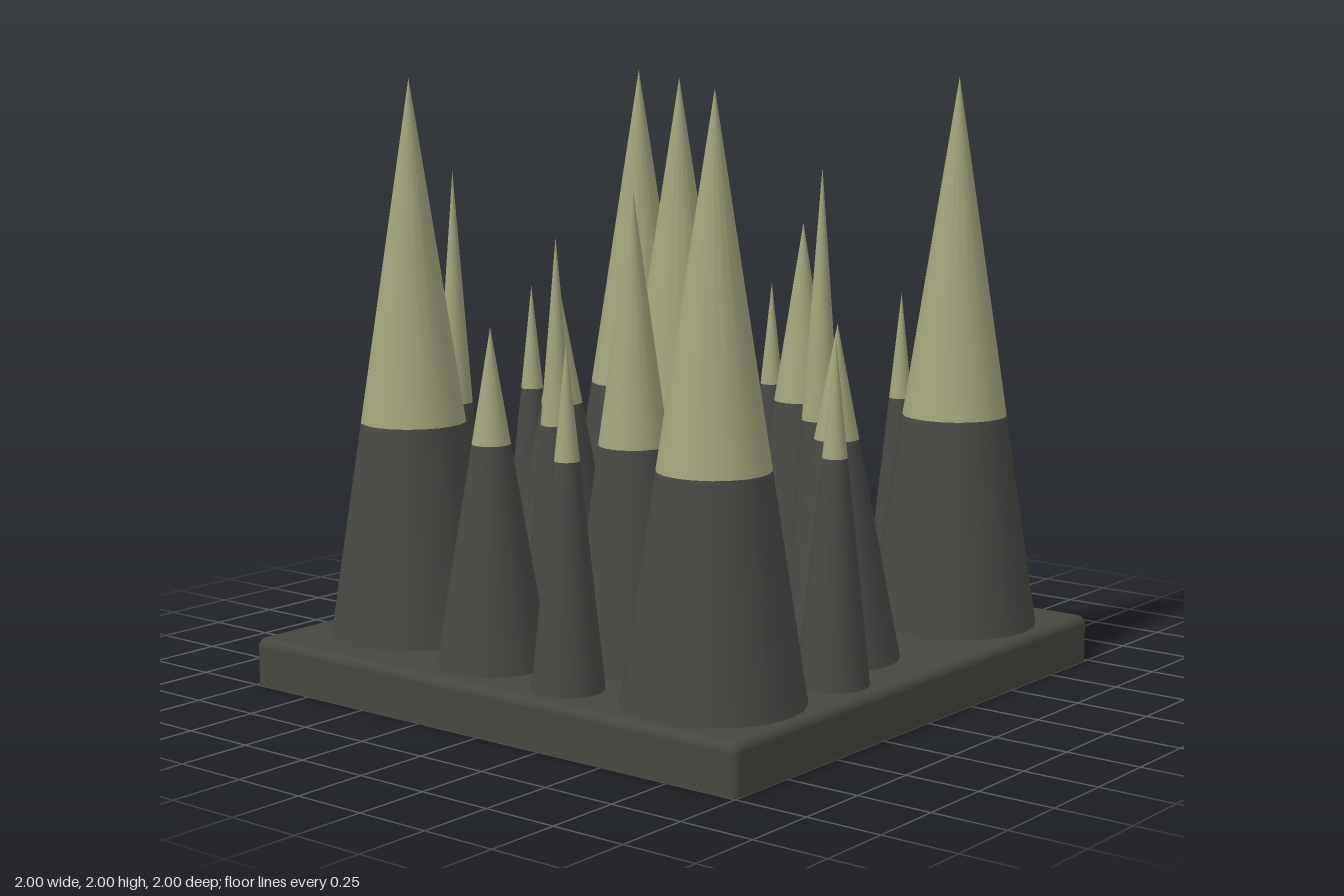
import * as THREE from 'three';
import { RoundedBoxGeometry } from 'three/addons/geometries/RoundedBoxGeometry.js';

const BASE_TOP = 0.16, COLOUR_LINE = 0.87, SIDES = 20;

// x, z, base radius, tip height
const SPIKES = {
  largeSpike: [
    [-0.637, -0.567, 0.285, 2], [0.674, -0.64, 0.285, 2], [0, 0, 0.285, 2],
    [-0.652, 0.593, 0.285, 2], [0.674, 0.68, 0.285, 2],
  ],
  mediumSpike: [
    [0.09, -0.575, 0.21, 1.49], [-0.53, -0.013, 0.21, 1.24], [0.64, 0, 0.21, 1.24],
    [0.207, 0.49, 0.21, 1.67], [-0.155, 0.754, 0.182, 1.24],
  ],
  smallSpike: [
    [-0.225, -0.82, 0.115, 1.24], [0.326, -0.835, 0.115, 1.24], [-0.235, -0.365, 0.115, 1.67],
    [0.385, -0.27, 0.115, 1.71], [-0.834, -0.2, 0.115, 1.24], [-0.825, 0.21, 0.115, 1.67],
    [-0.235, 0.35, 0.115, 1.49], [0.834, 0.285, 0.115, 1.24], [0.23, 0.835, 0.115, 1.24],
  ],
};

// Slab rounded on top and at the corners, with a sharp flat underside
function slabGeometry() {
  const geometry = new RoundedBoxGeometry(2, BASE_TOP * 2, 2, 4, 0.03);
  const pos = geometry.attributes.position, normal = geometry.attributes.normal;
  for (let i = 0; i < pos.count; i += 3) {
    const corners = [i, i + 1, i + 2];
    const below = corners.every((c) => pos.getY(c) < 0);
    for (const c of corners) {
      if (below) normal.setXYZ(c, 0, -1, 0);
      pos.setY(c, Math.max(0, pos.getY(c)));
    }
  }
  return geometry;
}

export function createModel() {
  const slabGrey = new THREE.MeshStandardMaterial({ color: 0x46473f });
  slabGrey.name = 'slab grey';
  const darkGrey = new THREE.MeshStandardMaterial({ color: 0x484845 });
  darkGrey.name = 'dark grey';
  const paleOlive = new THREE.MeshStandardMaterial({ color: 0xa2a47c });
  paleOlive.name = 'pale olive';

  const model = new THREE.Group();
  model.name = 'spikeField';

  const slab = new THREE.Mesh(slabGeometry(), slabGrey);
  slab.name = 'baseSlab';
  model.add(slab);

  // Each spike is a dark lower frustum with a pale tip
  function addSpike(name, [x, z, radius, height]) {
    const spike = new THREE.Group();
    spike.name = name;
    spike.position.set(x, 0, z);
    const lineRadius = radius * (height - COLOUR_LINE) / (height - BASE_TOP);

    const lowerHeight = COLOUR_LINE - BASE_TOP;
    const lower = new THREE.Mesh(
      new THREE.CylinderGeometry(lineRadius, radius, lowerHeight, SIDES, 1, true), darkGrey);
    lower.name = 'lowerSpike';
    lower.position.y = BASE_TOP + lowerHeight / 2;

    const tipHeight = height - COLOUR_LINE;
    const tip = new THREE.Mesh(
      new THREE.ConeGeometry(lineRadius, tipHeight, SIDES, 1, true), paleOlive);
    tip.name = 'spikeTip';
    tip.position.y = COLOUR_LINE + tipHeight / 2;

    spike.add(lower, tip);
    model.add(spike);
  }

  for (const [name, list] of Object.entries(SPIKES)) {
    for (const spec of list) addSpike(name, spec);
  }
  return model;
}
